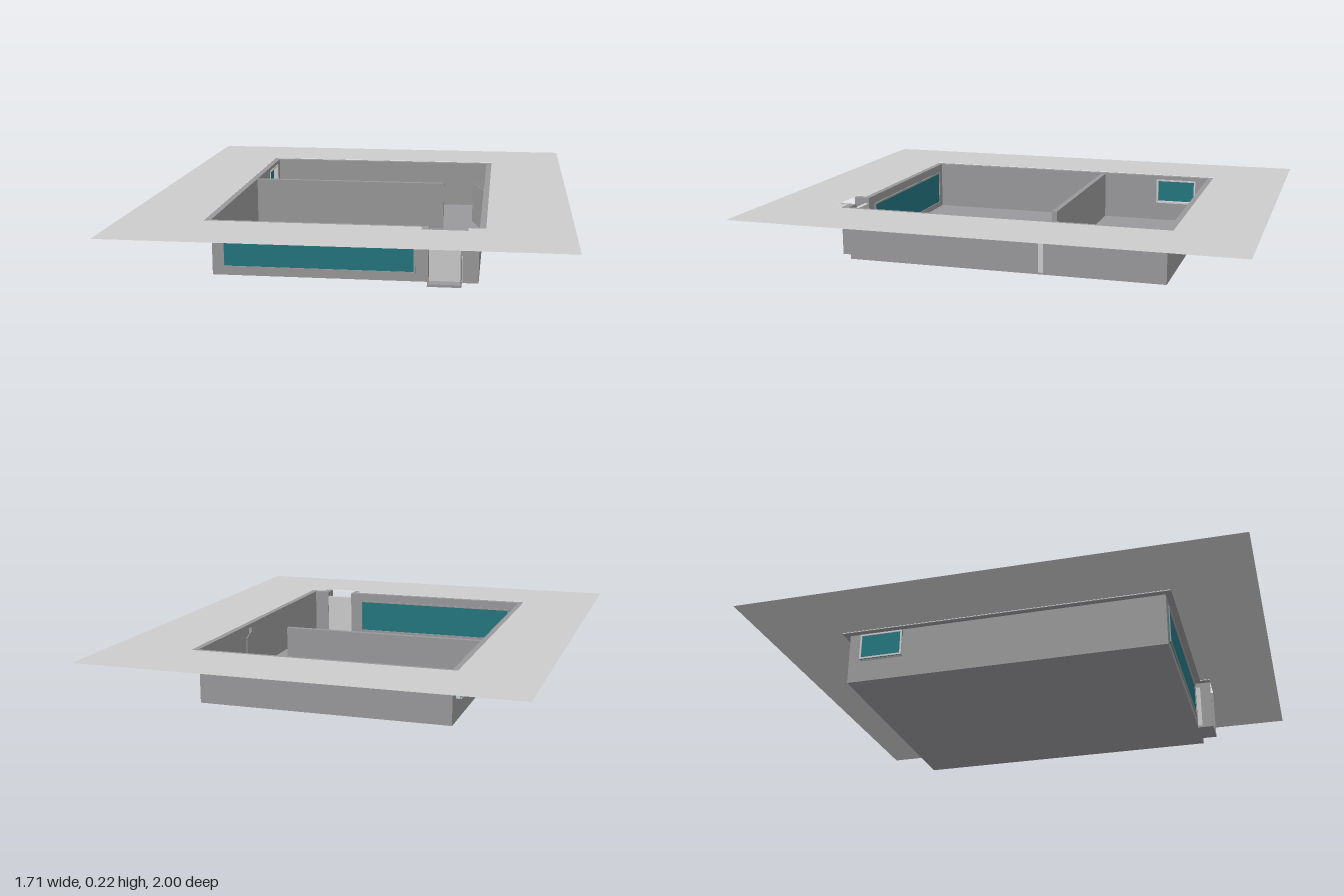
import * as THREE from 'three';

const mat = (name, color) => {
  const m = new THREE.MeshStandardMaterial({ color, side: THREE.DoubleSide });
  m.name = name;
  return m;
};

export function createModel() {
  const model = new THREE.Group();
  const grey = mat('wallGrey', 0x99999b);
  const light = mat('lightGrey', 0xcccccc);
  const teal = mat('glassTeal', 0x24757f);

  // room extents
  const X0 = -0.51, X1 = 0.507, Z0 = -0.655, Z1 = 0.65, H = 0.214;
  const DX0 = 0.32, DX1 = 0.443, PZ = 0.715; // doorway and porch

  const add = (name, geo, material, parent = model) => {
    const mesh = new THREE.Mesh(geo, material);
    mesh.name = name;
    parent.add(mesh);
    return mesh;
  };
  // box from its minimum and maximum corners
  const box = (name, material, x0, y0, z0, x1, y1, z1, parent) => {
    const g = new THREE.BoxGeometry(x1 - x0, y1 - y0, z1 - z0);
    g.translate((x0 + x1) / 2, (y0 + y1) / 2, (z0 + z1) / 2);
    return add(name, g, material, parent);
  };
  const points = (list) => list.map(([x, y]) => new THREE.Vector2(x, y));
  const rect = (a, b, c, d) => [[a, b], [c, b], [c, d], [a, d]];
  const sheet = (outline, holes = []) => {
    const shape = new THREE.Shape(points(outline));
    holes.forEach((h) => shape.holes.push(new THREE.Path(points(h))));
    return new THREE.ShapeGeometry(shape);
  };
  // room plan with the porch notch, grown sideways by e
  const plan = (e) => [
    [X0 - e, Z0 - e], [X1 + e, Z0 - e], [X1 + e, Z1 + e], [DX1 + e, Z1 + e],
    [DX1 + e, PZ], [DX0 - e, PZ], [DX0 - e, Z1 + e], [X0 - e, Z1 + e],
  ];

  // floor
  box('floor', grey, X0, 0, Z0, X1, 0.01, Z1);
  box('porchFloor', grey, DX0, 0, Z1, DX1, 0.01, PZ);

  // surrounding ground sheet and the wall cap
  add('surround', sheet(rect(-0.855, -1, 0.855, 1), [plan(0.024)]).rotateX(Math.PI / 2), light).position.y = 0.218;
  const cap = sheet(plan(0.025), [[...rect(X0, Z0, X1, Z1)]]).rotateX(Math.PI / 2);
  cap.dispose();
  const capStrip = (x0, z0, x1, z1) => box('wallCap', grey, x0, 0.213, z0, x1, 0.216, z1);
  const e = 0.025;
  capStrip(X0 - e, Z0 - e, X0, Z1 + e);
  capStrip(X1, Z0 - e, X1 + e, Z1 + e);
  capStrip(X0, Z0 - e, X1, Z0);
  capStrip(X0, Z1, DX0, Z1 + e);
  capStrip(DX1, Z1, X1, Z1 + e);
  capStrip(DX0 - e, Z1 + e, DX0, PZ);
  capStrip(DX1, Z1 + e, DX1 + e, PZ);

  // front wall with the long window opening and the doorway
  const win = [-0.47, 0.03, 0.27, 0.183];
  add('frontWall', sheet([[X0, 0], [DX0, 0], [DX0, H], [X0, H]], [rect(...win)]), grey).position.z = Z1;
  add('frontWallEnd', sheet(rect(DX1, 0, X1, H)), grey).position.z = Z1;
  add('backWall', sheet(rect(X0, 0, X1, H)), grey).position.z = Z0;

  // side walls, drawn in (-z, y) and turned
  const sideWin = [0.42, 0.09, 0.6, 0.2];
  const side = (name, x, holes) => {
    add(name, sheet(rect(-Z1, 0, -Z0, H), holes).rotateY(Math.PI / 2), grey).position.x = x;
  };
  side('rightWall', X1, []);
  side('leftWall', X0, [rect(...sideWin)]);

  // long front window
  const frontWindow = new THREE.Group();
  frontWindow.name = 'frontWindow';
  model.add(frontWindow);
  box('glass', teal, win[0], win[1], Z1 - 0.002, win[2], win[3], Z1 + 0.002, frontWindow);
  const t = 0.007;
  for (const y of [win[1], win[3] - t])
    box('frameRail', grey, win[0], y, Z1 - 0.006, win[2], y + t, Z1 + 0.006, frontWindow);
  for (const x of [win[0], win[2] - t])
    box('framePost', grey, x, win[1], Z1 - 0.006, x + t, win[3], Z1 + 0.006, frontWindow);

  // small side window set in a shallow projecting box
  const sideWindow = new THREE.Group();
  sideWindow.name = 'sideWindow';
  model.add(sideWindow);
  const [a, y0, b, y1] = sideWin;
  box('glass', teal, -0.53, y0, -b, -0.527, y1, -a, sideWindow);
  for (const z of [-b, -a - t])
    box('framePost', light, -0.533, y0, z, X0 + 0.004, y1, z + t, sideWindow);
  for (const y of [y0, y1 - t])
    box('frameRail', light, -0.533, y, -b, X0 + 0.004, y + t, -a, sideWindow);

  // partition between the two rooms
  box('partition', grey, X0, 0.01, -0.176, 0.33, H, -0.155);

  // porch sides and front door
  for (const x of [DX0, DX1])
    box('porchSide', grey, x - 0.002, 0, Z1, x + 0.002, H, PZ);
  box('frontDoor', light, DX0 - 0.003, 0.008, Z1 + 0.001, DX1 + 0.004, 0.193, Z1 + 0.02);

  // inner door, standing ajar, and its jamb
  const door = box('innerDoor', grey, -0.002, 0.01, -0.155, 0.002, 0.19, 0);
  door.position.set(0.497, 0, -0.17);
  door.rotation.y = 0.28;
  box('doorJamb', light, X1 - 0.002, 0.008, -0.17, X1 + 0.003, 0.198, -0.15);

  return model;
}
